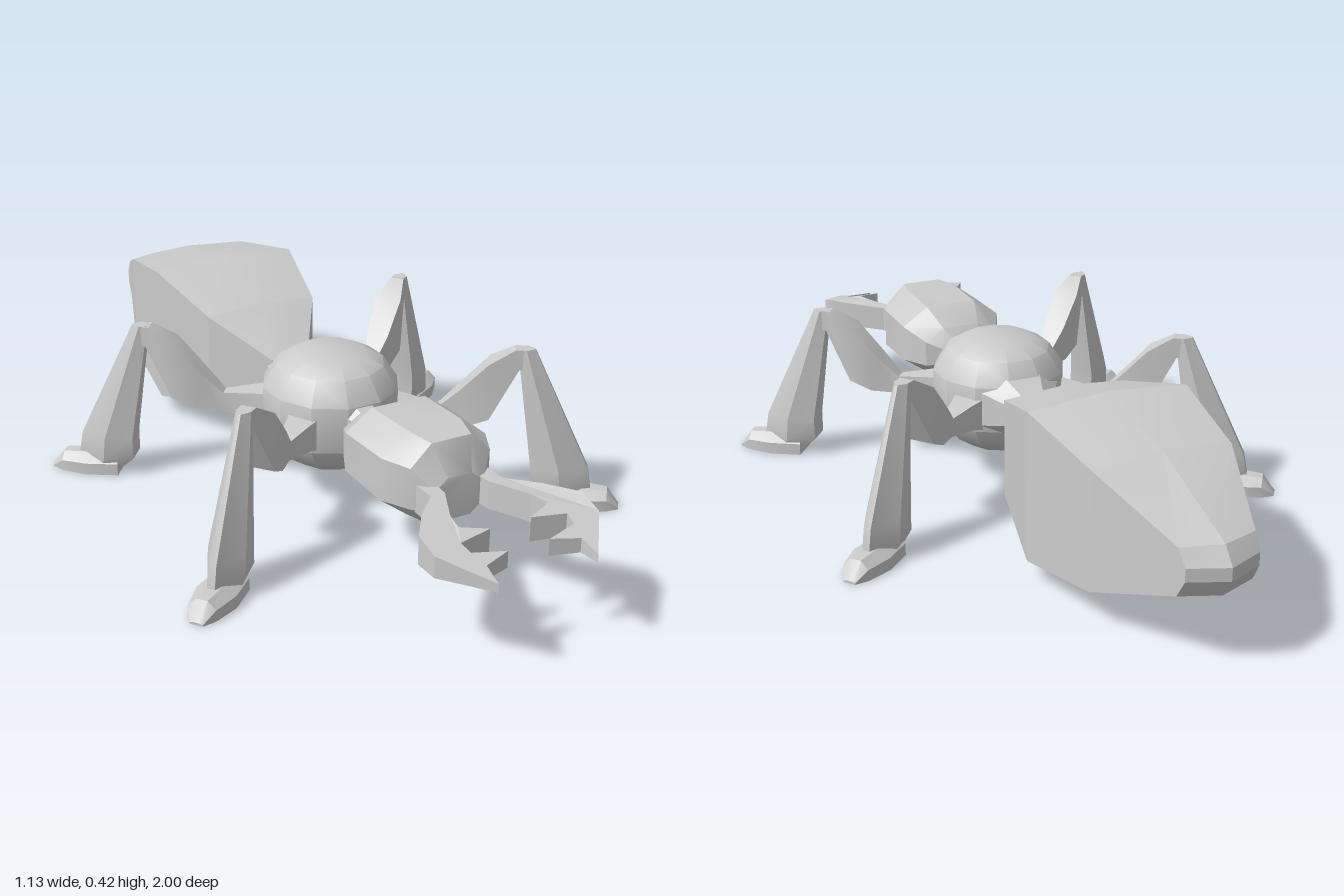
import * as THREE from 'three';
import { toCreasedNormals, mergeVertices } from 'three/addons/utils/BufferGeometryUtils.js';

const material = new THREE.MeshStandardMaterial({ color: 0xcccccc });

function part(name, geometry, crease = 0.5) {
  const mesh = new THREE.Mesh(toCreasedNormals(geometry, crease), material);
  mesh.name = name;
  return mesh;
}

// Closed skin through rings of [x, y, z] points, capped at both ends, always facing outward
function loft(rings) {
  const n = rings[0].length;
  const pos = rings.flat(2);
  const tris = [];
  for (let r = 0; r < rings.length - 1; r++) {
    for (let i = 0; i < n; i++) {
      const j = (i + 1) % n, a = r * n, b = a + n;
      tris.push([a + i, a + j, b + j], [a + i, b + j, b + i]);
    }
  }
  const last = (rings.length - 1) * n;
  for (let i = 1; i < n - 1; i++) {
    tris.push([0, i + 1, i], [last, last + i, last + i + 1]);
  }
  const v = (i) => new THREE.Vector3().fromArray(pos, i * 3);
  const origin = v(0);
  let volume = 0;
  for (const [a, b, c] of tris) {
    volume += v(a).sub(origin).dot(v(b).sub(origin).cross(v(c).sub(origin)));
  }
  const geometry = new THREE.BufferGeometry();
  geometry.setAttribute('position', new THREE.Float32BufferAttribute(pos, 3));
  geometry.setIndex(tris.flatMap(([a, b, c]) => (volume < 0 ? [a, c, b] : [a, b, c])));
  return geometry;
}

// Eight-sided ring across z: bevel is the share of the half size kept flat
function octRing(z, w, bottom, top, bevel = 0.5) {
  const m = (top + bottom) / 2, h = (top - bottom) / 2, k = bevel;
  return [[k, 1], [1, k], [1, -k], [k, -1], [-k, -1], [-1, -k], [-1, k], [-k, 1]]
    .map(([x, y]) => [x * w, m + y * h, z]);
}

// Boxy abdomen ring with a slight ridge above and below
function abdomenRing([z, w, bottom, top, ridge, zRidge]) {
  const m = (top + bottom) / 2, zc = z - zRidge;
  return [
    [0, top + ridge, zc], [w, top, z], [w, m, z], [w, bottom, z],
    [0, bottom - ridge, zc], [-w, bottom, z], [-w, m, z], [-w, top, z],
  ];
}

// One leg; sx and sz choose the corner of the body
function createLeg(sx, sz) {
  const leg = new THREE.Group();
  leg.name = (sz > 0 ? 'front' : 'rear') + (sx > 0 ? 'Left' : 'Right') + 'Leg';
  // u runs outward from the body, s across the leg
  const at = (u, y, s) => [sx * (0.79 * u - 0.61 * s), y, 0.105 + sz * (0.61 * u + 0.79 * s)];

  // upper leg: u and y of the top edge, u and y of the bottom edge, half width
  const upper = [
    [0.15, 0.25, 0.15, 0.17, 0.04],
    [0.19, 0.245, 0.19, 0.18, 0.03],
    [0.26, 0.235, 0.27, 0.19, 0.016],
    [0.31, 0.285, 0.33, 0.195, 0.028],
    [0.38, 0.36, 0.385, 0.22, 0.034],
    [0.44, 0.395, 0.45, 0.345, 0.018],
    [0.47, 0.393, 0.47, 0.345, 0.016],
  ].map(([ut, yt, ub, yb, w]) => [at(ut, yt, -w), at(ut, yt, w), at(ub, yb, w), at(ub, yb, -w)]);

  // lower leg: inner u, outer u, height, half width, with a ridge facing out
  const lower = [
    [0.445, 0.485, 0.395, 0.018],
    [0.49, 0.625, 0.1, 0.046],
    [0.49, 0.635, 0.045, 0.046],
    [0.54, 0.62, 0.0, 0.03],
  ].map(([ui, uo, y, w]) => {
    const um = ui * 0.5 + uo * 0.5;
    return [at(ui, y, -w * 0.7), at(um, y, -w), at(uo, y, -w * 0.2),
      at(uo, y, w * 0.2), at(um, y, w), at(ui, y, w * 0.7)];
  });

  // foot: u, height, half width
  const foot = [
    [0.53, 0.05, 0.04], [0.61, 0.05, 0.048], [0.675, 0.045, 0.033], [0.705, 0.006, 0.016],
  ].map(([u, y, w]) => [
    at(u, 0, -w), at(u, y * 0.6, -w), at(u, y, -w * 0.4),
    at(u, y, w * 0.4), at(u, y * 0.6, w), at(u, 0, w),
  ]);

  leg.add(part('upperLeg', loft(upper)), part('lowerLeg', loft(lower)), part('foot', loft(foot)));
  return leg;
}

// Toothed jaw cut from a flat outline, thinning toward the tip
function createMandible(side) {
  const outline = [
    [0.05, 0.63], [0.09, 0.63], [0.09, 0.7], [0.15, 0.76], [0.2, 0.83], [0.2, 0.89],
    [0.12, 0.995], [0.115, 0.945], [0.05, 0.925], [0.125, 0.905], [0.13, 0.875],
    [0.05, 0.86], [0.11, 0.835], [0.1, 0.79], [0.055, 0.7],
  ];
  const shape = new THREE.Shape(outline.map(([x, z]) => new THREE.Vector2(side * x, -z)));
  const geometry = new THREE.ExtrudeGeometry(shape, { depth: 0.065, bevelEnabled: false });
  geometry.rotateX(-Math.PI / 2);
  const p = geometry.attributes.position;
  for (let i = 0; i < p.count; i++) {
    const thin = THREE.MathUtils.clamp((p.getZ(i) - 0.83) / 0.165, 0, 1);
    p.setY(i, 0.2 + p.getY(i) * (1 - 0.7 * thin));
  }
  return part(side > 0 ? 'leftMandible' : 'rightMandible', geometry, 0.2);
}

export function createModel() {
  const model = new THREE.Group();
  model.name = 'ant';

  // Abdomen: z, half width, bottom, top, ridge height, ridge set-back
  const abdomen = [
    [-0.1, 0.05, 0.18, 0.265, 0.005, 0],
    [-0.26, 0.15, 0.11, 0.345, 0.012, 0],
    [-0.48, 0.195, 0.05, 0.405, 0.017, 0],
    [-0.72, 0.165, 0.085, 0.362, 0.013, 0],
    [-0.94, 0.088, 0.168, 0.275, 0.003, 0.03],
    [-0.965, 0.085, 0.21, 0.24, 0, 0.035],
  ].map(abdomenRing);
  model.add(part('abdomen', loft(abdomen), 0.2));

  // Thorax: round body with a flattened top
  const profile = [
    [0, 0.08], [0.085, 0.083], [0.13, 0.112], [0.168, 0.165],
    [0.17, 0.28], [0.133, 0.335], [0.085, 0.36], [0, 0.362],
  ].map(([r, y]) => new THREE.Vector2(r, y));
  const body = new THREE.LatheGeometry(profile, 12, Math.PI / 12);
  body.deleteAttribute('uv');
  body.deleteAttribute('normal');
  const thorax = part('thorax', mergeVertices(body), 0.6);
  thorax.scale.x = 0.97;
  thorax.position.z = 0.108;
  model.add(thorax);

  // Waist and neck
  model.add(part('waist', loft([octRing(-0.13, 0.055, 0.185, 0.265), octRing(-0.08, 0.065, 0.17, 0.28),
    octRing(0.0, 0.115, 0.13, 0.32)])));
  model.add(part('neck', loft([octRing(0.24, 0.06, 0.17, 0.29), octRing(0.29, 0.035, 0.2, 0.27),
    octRing(0.36, 0.04, 0.2, 0.28)])));

  // Head: z, half width, bottom, top
  const head = [
    [0.325, 0.06, 0.2, 0.28], [0.35, 0.1, 0.18, 0.31], [0.42, 0.135, 0.165, 0.35],
    [0.57, 0.132, 0.155, 0.355], [0.635, 0.1, 0.158, 0.35], [0.672, 0.06, 0.18, 0.28],
  ].map((s) => octRing(...s));
  model.add(part('head', loft(head)));

  for (const sx of [1, -1]) {
    model.add(createMandible(sx));
    for (const sz of [1, -1]) model.add(createLeg(sx, sz));
  }
  return model;
}
